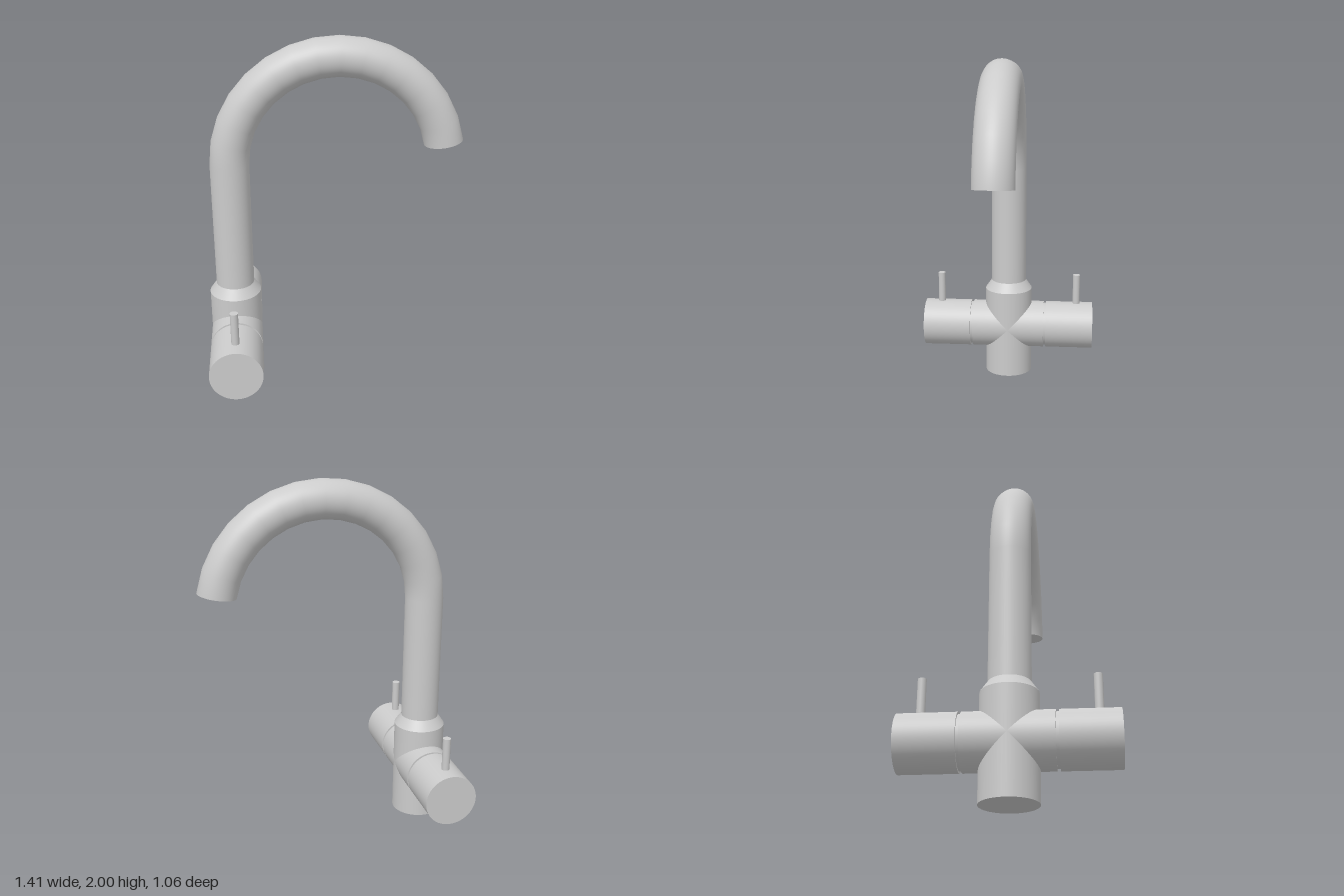
import * as THREE from 'three';

const material = new THREE.MeshStandardMaterial({ color: 0xcccccc });
const AXIS_X = -0.565;      // column axis
const BODY_R = 0.145, PIPE_R = 0.107;
const VALVE_Y = 0.305;      // height of the cross barrel
const ARC_Y = 1.3125;       // where the spout starts to bend

function add(parent, name, geometry) {
  const mesh = new THREE.Mesh(geometry, material);
  mesh.name = name;
  parent.add(mesh);
  return mesh;
}

// Turned part from [radius, height] pairs; every corner is doubled to stay crisp
function turned(profile, sides = 48) {
  const points = profile.flatMap(([r, y]) => [new THREE.Vector2(r, y), new THREE.Vector2(r, y)]);
  return new THREE.LatheGeometry(points.slice(1, -1), sides);
}

// Centre line of the swan neck, from the column over to the outlet
class NeckCurve extends THREE.Curve {
  getPoint(t, target = new THREE.Vector3()) {
    const a = THREE.MathUtils.degToRad(180 - 170.5 * t);
    return target.set(0.021 + 0.586 * Math.cos(a), ARC_Y + 0.58 * Math.sin(a), 0);
  }
}

export function createModel() {
  const model = new THREE.Group();
  model.name = 'mixerTap';

  // Column: wide base, tapered shoulder, straight pipe
  const column = add(model, 'column', turned([
    [0, 0], [BODY_R, 0], [BODY_R, 0.545], [PIPE_R, 0.6], [PIPE_R, ARC_Y],
  ]));
  column.position.x = AXIS_X;

  // Curved spout with a closed outlet
  const neck = new NeckCurve();
  add(model, 'spout', new THREE.TubeGeometry(neck, 15, PIPE_R, 48));
  const outlet = add(model, 'outlet', new THREE.CircleGeometry(PIPE_R, 48));
  outlet.position.copy(neck.getPoint(1));
  outlet.quaternion.setFromUnitVectors(new THREE.Vector3(0, 0, 1), neck.getTangent(1));

  // Cross barrel through the column
  const barrel = add(model, 'crossBarrel', turned([
    [0, -0.222], [BODY_R, -0.222], [BODY_R, 0.222], [0, 0.222],
  ]));
  barrel.rotation.x = Math.PI / 2;
  barrel.position.set(AXIS_X, VALVE_Y, 0);

  // A knob with its neck ring and lever pin at each end
  for (const [name, turn] of [['frontValve', 0], ['backValve', Math.PI]]) {
    const valve = new THREE.Group();
    valve.name = name;
    valve.position.set(AXIS_X, VALVE_Y, 0);
    valve.rotation.y = turn;
    model.add(valve);

    const knob = add(valve, 'knob', turned([
      [0.134, 0.21], [0.134, 0.237], [BODY_R, 0.237], [BODY_R, 0.528], [0, 0.528],
    ]));
    knob.rotation.x = Math.PI / 2;

    const pin = add(valve, 'leverPin', new THREE.CylinderGeometry(0.022, 0.022, 0.22, 20));
    pin.position.set(0, 0.22, 0.426);
  }

  return model;
}
